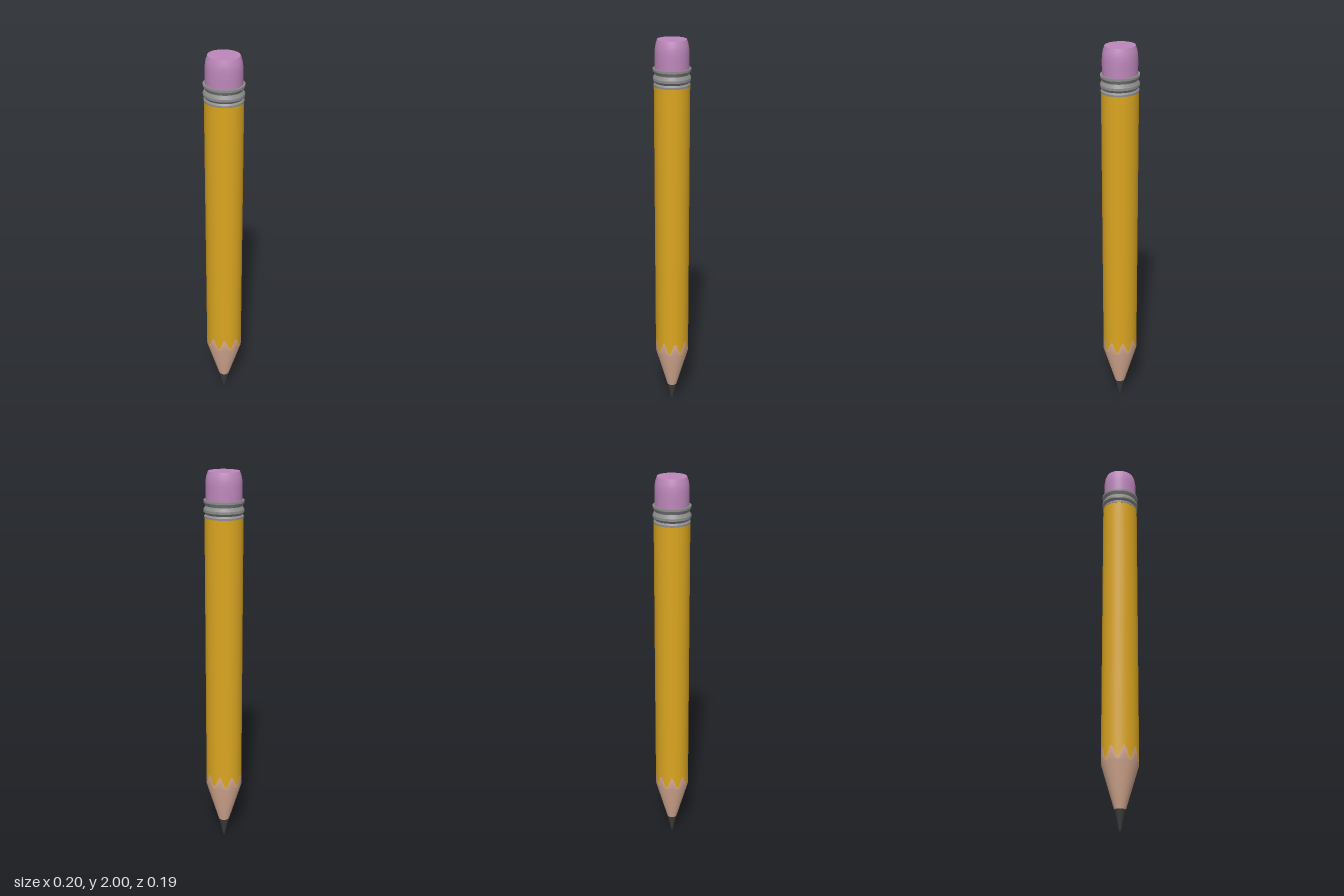
import * as THREE from 'three';
import { mergeGeometries } from 'three/addons/utils/BufferGeometryUtils.js';

const SEGMENTS = 144;
const DEPTH = 0.925; // the cross-section is slightly flattened front to back
const BODY_R = 0.0955;

const material = (name, color) => {
  const m = new THREE.MeshStandardMaterial({ color });
  m.name = name;
  return m;
};

// Smooth revolved surface from [radius, height] pairs listed bottom to top
function revolve(profile) {
  const points = profile.map(([r, y]) => new THREE.Vector2(r, y));
  return new THREE.LatheGeometry(points, SEGMENTS).scale(1, 1, DEPTH);
}

// Revolved surface with a sharp edge at every profile point
const revolveSharp = (profile) =>
  mergeGeometries(profile.slice(1).map((p, i) => revolve([profile[i], p])));

// Nine scallops where paint meets wood
const scallop = (angle) => 0.364 - 0.03 * Math.cos(9 * angle);

// Revolved surface whose rim at the given height is moved onto the scallops
function scalloped(profile, rimHeight) {
  const geometry = revolve(profile);
  const pos = geometry.attributes.position;
  for (let i = 0; i < pos.count; i++) {
    if (Math.abs(pos.getY(i) - rimHeight) > 0.001) continue;
    pos.setY(i, scallop(Math.atan2(pos.getX(i), pos.getZ(i) / DEPTH)));
  }
  return geometry;
}

export function createModel() {
  const yellow = material('yellow paint', 0xdaa520);
  const wood = material('bare wood', 0xdbae95);
  const lead = material('graphite', 0x3e3e3f);
  const metal = material('grey metal', 0x8e8e8e);
  const rubber = material('pink rubber', 0xbd87bb);

  const model = new THREE.Group();
  model.name = 'pencil';
  const add = (name, geometry, mat) => {
    const mesh = new THREE.Mesh(geometry, mat);
    mesh.name = name;
    model.add(mesh);
  };

  // Sharpened end with a slightly blunt point
  add('leadTip', revolveSharp([[0, 0], [0.005, 0], [0.029, 0.1]]), lead);
  add('sharpenedWood', scalloped([[0.029, 0.1], [BODY_R, 0.32], [BODY_R, 0.36]], 0.36), wood);

  // Painted shaft
  add('shaft', scalloped([[BODY_R, 0.36], [BODY_R, 1.785]], 0.36), yellow);

  // Ferrule: lower rim, crimped band and flat-topped lip
  add('ferruleRim', revolveSharp([[0.09, 1.776], [0.097, 1.778], [0.097, 1.787], [0.09, 1.795]]), metal);
  add('ferruleBand', revolveSharp([[0.09, 1.795], [0.1, 1.807], [0.1, 1.819], [0.09, 1.836]]), metal);
  add('ferruleLip', revolveSharp([[0.09, 1.836], [0.1, 1.853], [0.1, 1.864], [0.089, 1.864]]), metal);

  // Eraser with rounded shoulder and flat top
  add('eraserSide', revolve([
    [0.09, 1.86], [0.09, 1.9], [0.09, 1.935], [0.0885, 1.957], [0.085, 1.978], [0.077, 2],
  ]), rubber);
  add('eraserTop', revolve([[0.077, 2], [0, 2]]), rubber);

  return model;
}
